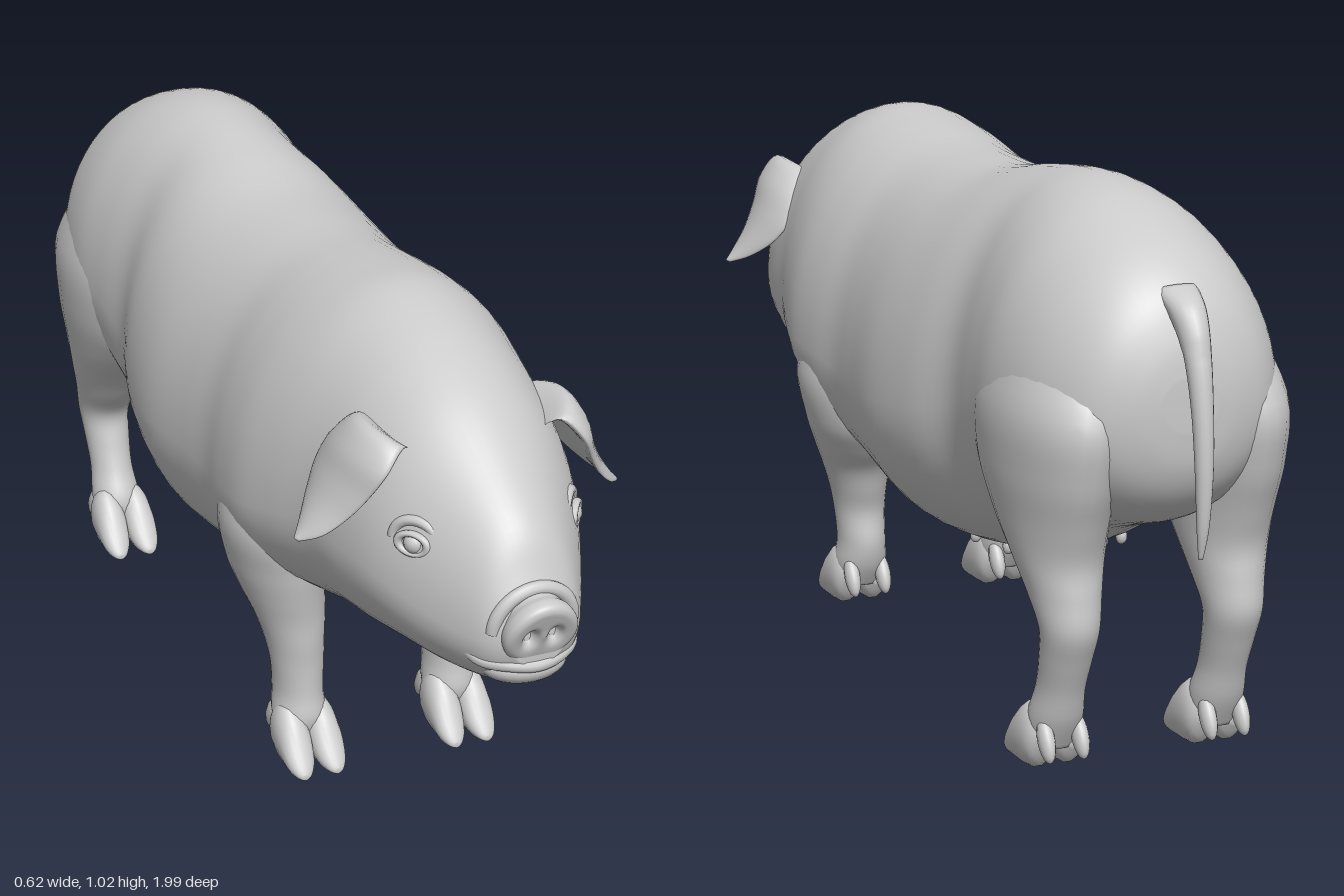
import * as THREE from 'three';

const material = new THREE.MeshStandardMaterial({ color: 0xcccccc, roughness: 0.8 });
const V = (x, y, z) => new THREE.Vector3(x, y, z);

// Catmull-Rom blend of a table of rows, t in 0..1
function sample(rows, t) {
  const last = rows.length - 1;
  const i = Math.min(Math.floor(t * last), last - 1);
  const f = t * last - i;
  const at = (k) => rows[Math.max(0, Math.min(last, k))];
  return rows[i].map((b, c) => {
    const a = at(i - 1)[c], d = at(i + 1)[c], e = at(i + 2)[c];
    return b + 0.5 * f * (d - a + f * (2 * a - 5 * b + 4 * d - e + f * (3 * (b - d) + e - a)));
  });
}

// Closed smooth skin through cross-sections; point(row, angle) gives each corner
function loft(rows, sides, steps, point) {
  const rings = (rows.length - 1) * steps + 1;
  const pos = [], idx = [];
  for (let i = 0; i < rings; i++) {
    const row = sample(rows, i / (rings - 1));
    for (let j = 0; j < sides; j++) pos.push(...point(row, (j / sides) * Math.PI * 2).toArray());
  }
  for (let i = 0; i < rings - 1; i++) {
    for (let j = 0; j < sides; j++) {
      const a = i * sides + j, b = i * sides + (j + 1) % sides;
      idx.push(a, b, a + sides, b, b + sides, a + sides);
    }
  }
  for (const first of [0, (rings - 1) * sides]) {
    const c = V(0, 0, 0), hub = pos.length / 3;
    for (let j = 0; j < sides; j++) c.add(V().fromArray(pos, (first + j) * 3));
    pos.push(...c.divideScalar(sides).toArray());
    for (let j = 0; j < sides; j++) {
      const a = first + j, b = first + (j + 1) % sides;
      idx.push(...(first ? [a, b, hub] : [b, a, hub]));
    }
  }
  // turn the faces outward
  let volume = 0;
  const p = (k) => V().fromArray(pos, idx[k] * 3);
  for (let k = 0; k < idx.length; k += 3) volume += p(k).dot(p(k + 1).cross(p(k + 2)));
  if (volume < 0) idx.reverse();
  const g = new THREE.BufferGeometry();
  g.setAttribute('position', new THREE.Float32BufferAttribute(pos, 3));
  g.setIndex(idx);
  g.computeVertexNormals();
  return g;
}

function add(parent, name, geometry, x = 0, y = 0, z = 0) {
  const mesh = new THREE.Mesh(geometry, material);
  mesh.name = name;
  mesh.position.set(x, y, z);
  parent.add(mesh);
  return mesh;
}

// z, bottom, top, half width, height of widest point
const BODY = [
  [0.955, 0.49, 0.59, 0.05, 0.54], [0.93, 0.455, 0.65, 0.085, 0.54], [0.89, 0.43, 0.725, 0.112, 0.54],
  [0.8, 0.41, 0.805, 0.158, 0.56], [0.7, 0.4, 0.88, 0.2, 0.59], [0.6, 0.385, 0.93, 0.224, 0.6],
  [0.5, 0.375, 0.965, 0.24, 0.6], [0.4, 0.36, 0.985, 0.265, 0.58], [0.3, 0.34, 0.98, 0.284, 0.56],
  [0.2, 0.305, 0.97, 0.282, 0.55], [0.1, 0.28, 0.96, 0.272, 0.54], [0, 0.26, 0.957, 0.277, 0.54],
  [-0.15, 0.25, 0.962, 0.289, 0.54], [-0.3, 0.27, 0.99, 0.272, 0.56], [-0.42, 0.3, 1.01, 0.24, 0.59],
  [-0.53, 0.345, 1.018, 0.245, 0.63], [-0.64, 0.4, 1.005, 0.253, 0.65], [-0.75, 0.44, 0.968, 0.238, 0.66],
  [-0.83, 0.47, 0.925, 0.205, 0.67], [-0.885, 0.52, 0.87, 0.16, 0.68], [-0.915, 0.58, 0.8, 0.1, 0.69],
  [-0.925, 0.65, 0.74, 0.05, 0.7],
];
const bodyPoint = ([z, lo, hi, w, mid], a) =>
  V(w * Math.sin(a), mid + Math.cos(a) * (Math.cos(a) > 0 ? hi - mid : mid - lo), z);

// y, x, z, half width, half depth
const FRONT_LEG = [
  [0.62, 0.18, 0.24, 0.07, 0.1], [0.5, 0.195, 0.24, 0.09, 0.13], [0.41, 0.185, 0.235, 0.088, 0.125],
  [0.35, 0.176, 0.247, 0.077, 0.102], [0.3, 0.167, 0.262, 0.066, 0.078], [0.25, 0.161, 0.27, 0.056, 0.066],
  [0.2, 0.157, 0.275, 0.05, 0.056], [0.14, 0.155, 0.272, 0.047, 0.058], [0.09, 0.155, 0.28, 0.051, 0.055],
  [0.045, 0.155, 0.285, 0.042, 0.035],
];
const HIND_LEG = [
  [0.8, 0.11, -0.68, 0.1, 0.13], [0.67, 0.15, -0.68, 0.108, 0.215], [0.56, 0.157, -0.68, 0.103, 0.205],
  [0.47, 0.157, -0.697, 0.09, 0.155], [0.4, 0.156, -0.725, 0.077, 0.105], [0.34, 0.155, -0.752, 0.063, 0.082],
  [0.28, 0.155, -0.777, 0.052, 0.06], [0.22, 0.155, -0.762, 0.046, 0.052], [0.16, 0.155, -0.74, 0.043, 0.049],
  [0.1, 0.155, -0.717, 0.049, 0.052], [0.045, 0.155, -0.705, 0.042, 0.035],
];
// z, bottom, top, half width
const HOOF = [
  [0.25, 0.045, 0.08, 0.012], [0.27, 0.012, 0.115, 0.028], [0.3, 0, 0.125, 0.033],
  [0.335, 0, 0.098, 0.032], [0.365, 0, 0.056, 0.027], [0.385, 0.002, 0.026, 0.016], [0.392, 0.004, 0.014, 0.006],
];
// x, y, z, half width, half thickness
const EAR = [
  [0.12, 0.8, 0.645, 0.05, 0.02], [0.165, 0.832, 0.645, 0.08, 0.025], [0.207, 0.795, 0.635, 0.106, 0.02],
  [0.233, 0.745, 0.618, 0.103, 0.015], [0.257, 0.7, 0.617, 0.08, 0.012], [0.285, 0.662, 0.627, 0.045, 0.008],
  [0.308, 0.64, 0.632, 0.008, 0.004],
];
// depth, radius
const SNOUT = [
  [-0.07, 0.06], [-0.035, 0.057], [-0.015, 0.066], [0.002, 0.067], [0.01, 0.058],
  [0.011, 0.044], [0.011, 0.03], [0.011, 0.016], [0.012, 0.002],
];

function addLeg(parent, name, rows, s, hoofShift) {
  const leg = new THREE.Group();
  leg.name = name;
  parent.add(leg);
  add(leg, 'limb', loft(rows, 28, 5, ([y, x, z, w, d], a) => V(s * (x + w * Math.cos(a)), y, z + d * Math.sin(a))));
  for (const k of [-1, 1]) {
    // split hoof
    add(leg, 'hoof', loft(HOOF, 18, 4, ([z, lo, hi, w], a) =>
      V(w * Math.cos(a) + k * (z - 0.3) * 0.04, (lo + hi) / 2 + Math.sin(a) * (hi - lo) / 2, z)),
    s * 0.155 + k * 0.029, 0, hoofShift);
    // small claw behind it
    const claw = add(leg, 'dewclaw', new THREE.SphereGeometry(1, 14, 10), s * 0.155 + k * 0.032, 0.07, 0.236 + hoofShift);
    claw.scale.set(0.015, 0.042, 0.02);
    claw.rotation.x = 0.5;
  }
}

export function createModel() {
  const pig = new THREE.Group();
  pig.name = 'pig';
  add(pig, 'body', loft(BODY, 56, 5, bodyPoint));

  for (const s of [1, -1]) {
    const side = s > 0 ? 'left' : 'right';
    addLeg(pig, side + 'FrontLeg', FRONT_LEG, s, 0);
    addLeg(pig, side + 'HindLeg', HIND_LEG, s, -0.99);

    // drooping ear with its rims curled toward the head
    add(pig, side + 'Ear', loft(EAR, 28, 5, ([x, y, z, w, t], a) => {
      const n = t * Math.sin(a) - 0.2 * w * Math.cos(a) ** 2;
      return V(s * (x + 0.85 * n), y + 0.5 * n, z + w * Math.cos(a));
    }));

    // eye with lids and brow, turned outward
    const eye = new THREE.Group();
    eye.name = side + 'Eye';
    eye.position.set(s * 0.148, 0.667, 0.772);
    eye.rotation.y = s * 0.95;
    pig.add(eye);
    add(eye, 'eyeball', new THREE.SphereGeometry(0.02, 20, 14));
    add(eye, 'eyelids', new THREE.TorusGeometry(0.029, 0.008, 10, 28), 0, 0, 0.008).scale.y = 0.65;
    add(eye, 'brow', new THREE.TorusGeometry(0.045, 0.011, 10, 24, Math.PI), 0, 0, -0.006).scale.y = 0.85;

    // two rows of teats along the belly
    for (const z of [0.12, 0, -0.13, -0.27, -0.4, -0.5]) {
      const last = BODY.length - 1;
      let t = 0;
      while (sample(BODY, t)[0] > z && t < 1) t += 0.25 / last;
      const p = bodyPoint(sample(BODY, Math.min(t, 1)), Math.PI - s * 0.27);
      add(pig, side + 'Teat', new THREE.SphereGeometry(0.011, 10, 8), p.x, p.y - 0.004, p.z).scale.y = 1.4;
    }
  }

  // snout disc, tipped slightly down, with two nostril pits
  const snout = add(pig, 'snout', loft(SNOUT, 48, 6, ([d, r], a) => {
    const x = r * Math.cos(a), y = r * Math.sin(a);
    const pit = Math.exp(-(((Math.abs(x) - 0.023) / 0.011) ** 2) - ((y + 0.004) / 0.016) ** 2);
    return V(x * (1 - y * 1.5), y, d - (d > 0.005 ? 0.025 * pit : 0));
  }), 0, 0.557, 0.963);
  snout.rotation.x = 0.4;
  const fold = add(pig, 'snoutFold', new THREE.TorusGeometry(0.074, 0.013, 12, 40, Math.PI), 0, 0.555, 0.927);
  fold.rotation.x = 0.15;

  // lower jaw and the line of the lips
  add(pig, 'lowerJaw', new THREE.SphereGeometry(1, 28, 18), 0, 0.474, 0.893).scale.set(0.08, 0.036, 0.062);
  const lips = new THREE.CatmullRomCurve3([V(-0.104, 0.515, 0.86), V(-0.085, 0.495, 0.905), V(-0.045, 0.492, 0.94),
    V(0, 0.488, 0.95), V(0.045, 0.492, 0.94), V(0.085, 0.495, 0.905), V(0.104, 0.515, 0.86)]);
  add(pig, 'upperLip', new THREE.TubeGeometry(lips, 40, 0.012, 10));

  // hanging tail: y, z, half width, half depth
  add(pig, 'tail', loft([
    [0.88, -0.85, 0.04, 0.025], [0.85, -0.905, 0.032, 0.028], [0.79, -0.944, 0.024, 0.023],
    [0.7, -0.967, 0.019, 0.019], [0.6, -0.978, 0.016, 0.016], [0.5, -0.977, 0.011, 0.011], [0.44, -0.97, 0.004, 0.004],
  ], 18, 6, ([y, z, w, d], a) => V(w * Math.cos(a), y + 0.5 * d * Math.sin(a) * (y > 0.8 ? 1 : 0.2), z - d * Math.sin(a))));

  return pig;
}
